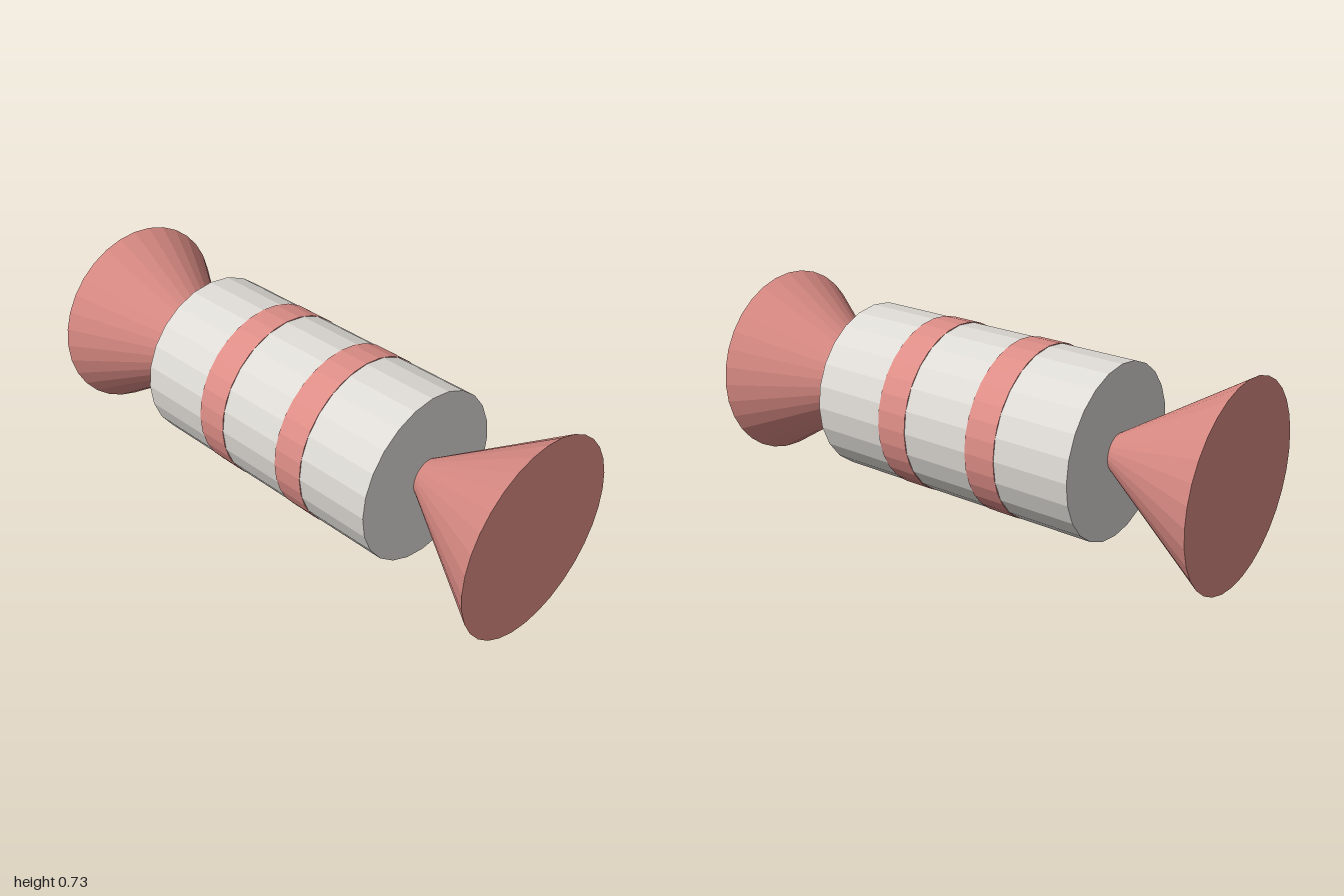
import * as THREE from 'three';

const AXIS_Y = 0.367;

export function createModel() {
  const model = new THREE.Group();
  model.name = 'wrappedSweet';
  const grey = new THREE.MeshStandardMaterial({ color: 0xdddad5 });
  grey.name = 'pale grey';
  const coral = new THREE.MeshStandardMaterial({ color: 0xdd8d86 });
  coral.name = 'coral';

  // A faceted round part lying along x, from x0 to x1
  function roundPart(name, x0, x1, r0, r1, sides, material) {
    const geometry = new THREE.CylinderGeometry(r1, r0, x1 - x0, sides)
      .rotateZ(-Math.PI / 2)
      .toNonIndexed();
    geometry.computeVertexNormals(); // flat facets
    const mesh = new THREE.Mesh(geometry, material);
    mesh.name = name;
    mesh.position.set((x0 + x1) / 2, AXIS_Y, 0);
    model.add(mesh);
  }

  // Barrel body
  roundPart('body', -0.547, 0.547, 0.318, 0.318, 24, grey);

  // Raised bands around the body
  roundPart('rightBand', -0.255, -0.134, 0.32, 0.32, 32, coral);
  roundPart('leftBand', 0.134, 0.255, 0.32, 0.32, 32, coral);

  // Flared ends, their narrow tips sunk just inside the body
  roundPart('rightFlare', -1, -0.54, 0.366, 0.066, 32, coral);
  roundPart('leftFlare', 0.54, 1, 0.066, 0.366, 32, coral);

  return model;
}
